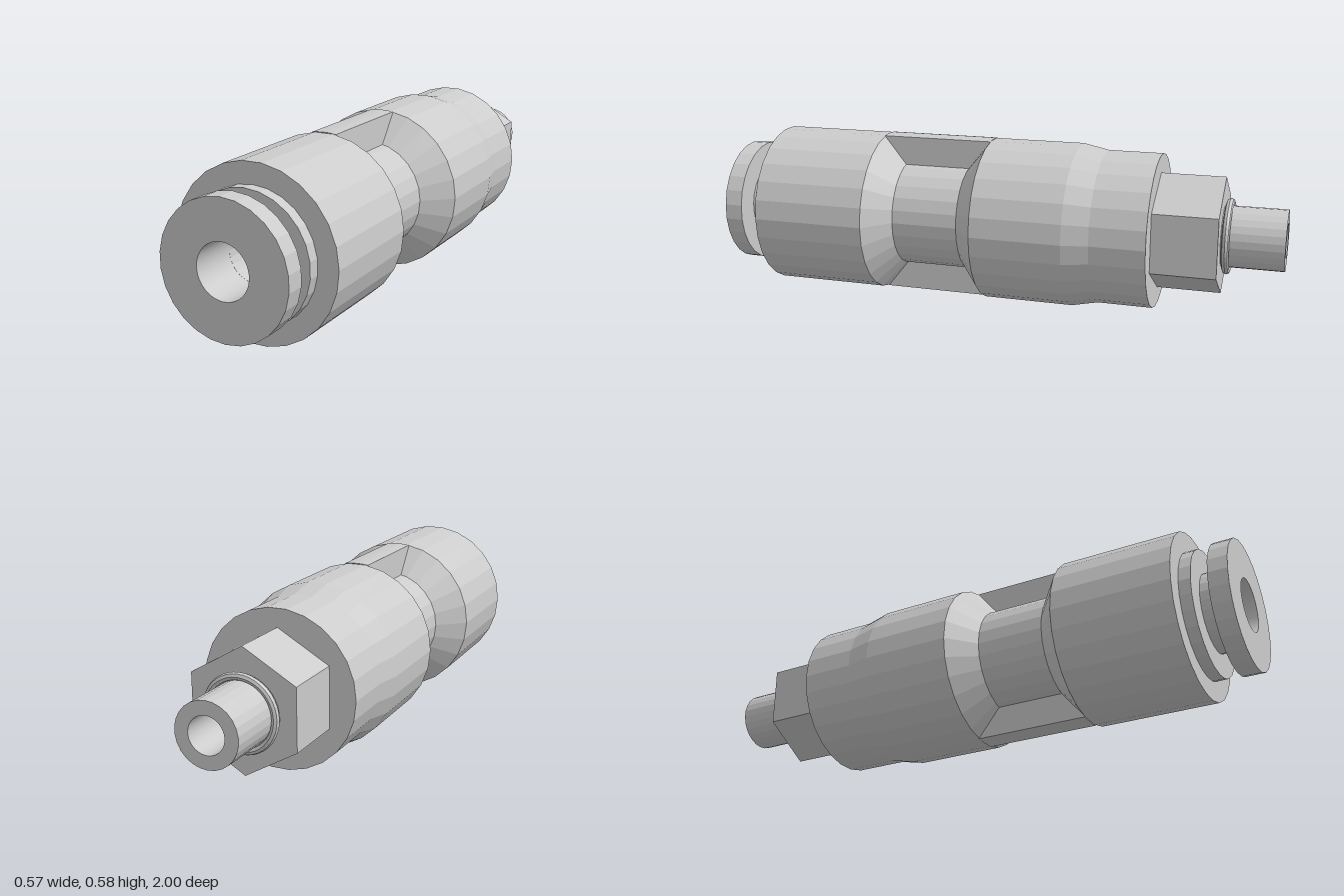
import * as THREE from 'three';

const AXIS = 0.288; // height of the long axis
const SIDES = 26;
const material = new THREE.MeshStandardMaterial({ color: 0xcccccc, flatShading: true });

function addMesh(group, name, geometry) {
  const mesh = new THREE.Mesh(geometry, material);
  mesh.name = name;
  group.add(mesh);
  return mesh;
}

// Straight prism along z with a round bore; the first corner lies at angle `start`
function boredPrism(sides, radius, bore, z0, z1, start) {
  const corners = [];
  for (let i = 0; i < sides; i++) {
    const a = start + (i / sides) * Math.PI * 2;
    corners.push(new THREE.Vector2(Math.cos(a) * radius, Math.sin(a) * radius));
  }
  const shape = new THREE.Shape(corners);
  const hole = new THREE.Path();
  hole.absarc(0, 0, bore, 0, Math.PI * 2, true);
  shape.holes.push(hole);
  const geometry = new THREE.ExtrudeGeometry(shape, {
    depth: z1 - z0, bevelEnabled: false, curveSegments: 32,
  });
  return geometry.translate(0, 0, z0);
}

export function createModel() {
  const model = new THREE.Group();
  model.name = 'tubeFitting';
  const parts = new THREE.Group();
  parts.name = 'fittingParts';
  parts.position.y = AXIS;
  model.add(parts);

  // Turned body: tapered rear, narrow waist, front barrel and inner bore
  const profile = [
    [0.09, -0.57], [0.268, -0.57], [0.268, -0.38], [0.287, -0.29],
    [0.287, 0.03], [0.19, 0.11], [0.19, 0.35], [0.287, 0.43],
    [0.287, 0.84], [0.09, 0.84], [0.09, -0.57],
  ].map(([r, z]) => new THREE.Vector2(r, z));
  const body = new THREE.LatheGeometry(profile, SIDES, Math.PI / 2);
  body.rotateX(Math.PI / 2);
  addMesh(parts, 'body', body);

  // Ribs bridging the waist above and below
  const half = Math.asin(0.044 / 0.288);
  const ribShape = new THREE.Shape();
  ribShape.moveTo(-0.044, 0.17);
  ribShape.lineTo(0.044, 0.17);
  ribShape.absarc(0, 0, 0.288, Math.PI / 2 - half, Math.PI / 2 + half, false);
  ribShape.closePath();
  const rib = new THREE.ExtrudeGeometry(ribShape, {
    depth: 0.4, bevelEnabled: false, curveSegments: 4,
  }).translate(0, 0, 0.03);
  addMesh(parts, 'topRib', rib);
  addMesh(parts, 'bottomRib', rib).rotation.z = Math.PI;

  // Release collar at the front: inner flange, neck and button
  const up = Math.PI / 2;
  addMesh(parts, 'innerFlange', boredPrism(SIDES, 0.217, 0.09, 0.84, 0.88, up));
  addMesh(parts, 'collarNeck', boredPrism(SIDES, 0.135, 0.09, 0.88, 0.935, up));
  addMesh(parts, 'releaseButton', boredPrism(SIDES, 0.222, 0.09, 0.935, 1, up));

  // Rear hexagon, sealing ring and hollow stem
  addMesh(parts, 'hexNut', boredPrism(6, 0.205, 0.06, -0.79, -0.57, up));
  addMesh(parts, 'stem', boredPrism(SIDES, 0.105, 0.06, -1, -0.79, up));
  const ring = new THREE.TorusGeometry(0.117, 0.013, 8, 40).translate(0, 0, -0.807);
  addMesh(parts, 'sealRing', ring);

  return model;
}
